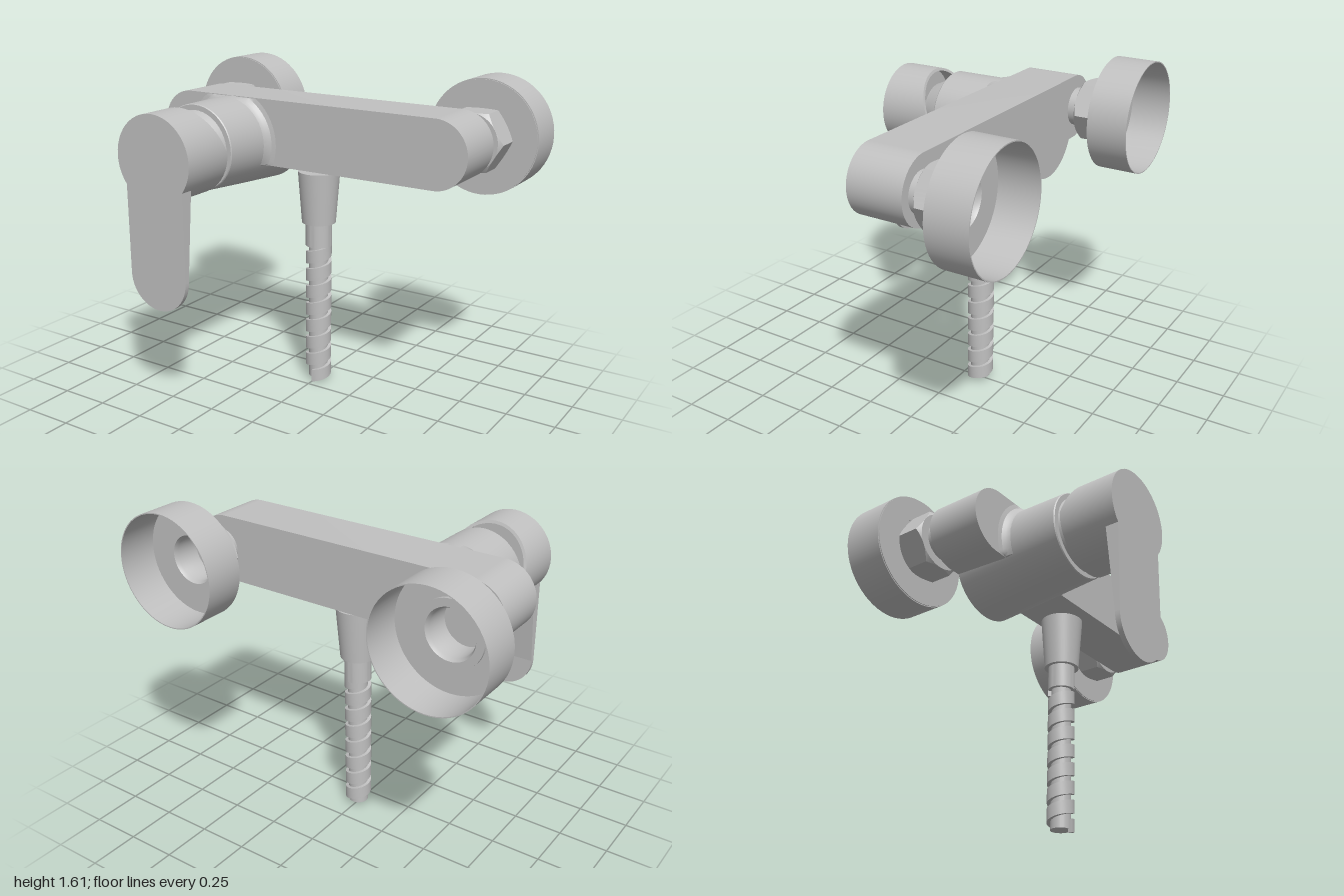
import * as THREE from 'three';
import { toCreasedNormals } from 'three/addons/utils/BufferGeometryUtils.js';

const metal = new THREE.MeshStandardMaterial({ color: 0xc0c0c0, side: THREE.DoubleSide });
metal.name = 'satin metal';

function part(parent, name, geometry, x = 0, y = 0, z = 0) {
  const mesh = new THREE.Mesh(toCreasedNormals(geometry, 0.5), metal);
  mesh.name = name;
  mesh.position.set(x, y, z);
  parent.add(mesh);
}

// Lathe from [radius, height] pairs, upright or turned along z
function turned(points, alongZ = true, segments = 48) {
  const g = new THREE.LatheGeometry(points.map(p => new THREE.Vector2(...p)), segments);
  return alongZ ? g.rotateX(Math.PI / 2) : g;
}

// Moves every vertex of a geometry by a rule
function reshape(g, rule) {
  const p = g.attributes.position, v = new THREE.Vector3();
  for (let i = 0; i < p.count; i++) {
    v.fromBufferAttribute(p, i);
    rule(v);
    p.setXYZ(i, v.x, v.y, v.z);
  }
  return g;
}

function extrude(shape, depth) {
  return new THREE.ExtrudeGeometry(shape, { depth, bevelEnabled: false, curveSegments: 24 });
}

// Helical band with a rectangular section, closed at both ends
function spiralBand(inner, outer, height, pitch, turns) {
  const steps = Math.round(turns * 28), pos = [], index = [];
  const section = [[inner, 0], [outer, 0], [outer, height], [inner, height]];
  for (let i = 0; i <= steps; i++) {
    const t = i / steps * turns, a = t * Math.PI * 2;
    for (const [r, h] of section) pos.push(r * Math.sin(a), h + t * pitch, r * Math.cos(a));
    if (i === steps) break;
    for (let k = 0; k < 4; k++) {
      const a0 = i * 4 + k, b0 = i * 4 + (k + 1) % 4;
      index.push(a0, a0 + 4, b0, b0, a0 + 4, b0 + 4);
    }
  }
  const e = steps * 4;
  index.push(0, 1, 2, 0, 2, 3, e, e + 2, e + 1, e, e + 3, e + 2);
  const g = new THREE.BufferGeometry();
  g.setAttribute('position', new THREE.Float32BufferAttribute(pos, 3));
  g.setIndex(index);
  return g;
}

// Wall flange, union nut and stub pipe
function wallConnection(side) {
  const group = new THREE.Group();
  group.name = side > 0 ? 'leftWallConnection' : 'rightWallConnection';
  group.position.set(side * 0.715, 1.321, 0);
  // Open cup with a raised ring around the bore
  part(group, 'wallFlange', turned([
    [0, -0.31], [0.112, -0.31], [0.112, -0.435], [0.122, -0.455], [0.16, -0.455], [0.16, -0.436],
    [0.28, -0.436], [0.28, -0.645], [0.285, -0.645], [0.285, -0.44], [0.125, -0.44]], true, 60));
  // Hexagon whose corners are chamfered at both ends
  const flat = 0.141;
  const nut = reshape(turned([[0.13, -0.44], [flat, -0.44], [flat + 0.01, -0.44], [flat + 0.01, -0.295],
    [flat, -0.295], [0.09, -0.295]]), v => {
    const r = Math.hypot(v.x, v.y);
    if (r < flat + 0.005) return;
    const sixth = Math.PI / 3, a = Math.atan2(v.y, v.x) + Math.PI * 2;
    const hex = flat / Math.cos((a + 1e-6) % sixth - sixth / 2);
    v.x *= hex / r;
    v.y *= hex / r;
    v.z += (v.z < -0.36 ? 1 : -1) * (hex - flat) * 0.8;
  });
  part(group, 'unionNut', nut);
  part(group, 'stubPipe', turned([[0.097, -0.3], [0.097, -0.23]]));
  return group;
}

export function createModel() {
  const model = new THREE.Group();
  model.name = 'showerMixer';

  // Long bar body with round ends
  const bar = new THREE.Shape();
  bar.absarc(0.693, 0, 0.165, -Math.PI / 2, Math.PI / 2);
  bar.absarc(-0.693, 0, 0.165, Math.PI / 2, Math.PI * 1.5);
  bar.closePath();
  part(model, 'body', extrude(bar, 0.282), 0, 1.322, -0.24);

  for (const side of [-1, 1]) model.add(wallConnection(side));

  // Cartridge housing: a drafted cylinder whose top stays level
  const valve = new THREE.Group();
  valve.name = 'valve';
  valve.position.set(-0.43, 1.273, 0);
  model.add(valve);
  const lean = v => { v.y -= (0.33 - v.z) * 0.04; };
  part(valve, 'cartridgeHousing', reshape(turned([
    [0, -0.24], [0.235, -0.24], [0.225, 0.04], [0.213, 0.325], [0.209, 0.33], [0, 0.33]]), lean));

  // Fillet against the bar, drawn inside the housing where it would pass the bar's edges
  part(valve, 'housingFillet', reshape(turned([
    [0.267, 0.043], [0.245, 0.048], [0.231, 0.061], [0.222, 0.085]], true, 96), v => {
    const r = Math.hypot(v.x, v.y);
    const edge = (v.y > 0 ? 0.222 : 0.104) / Math.max(Math.abs(v.y / r), 0.01);
    const k = Math.min(r, Math.max(edge, 0.2)) / r;
    v.x *= k;
    v.y *= k;
    lean(v);
  }));
  part(valve, 'neck', turned([[0.187, 0.32], [0.183, 0.335], [0.142, 0.42], [0.136, 0.435], [0, 0.435]]));

  // Handle cap: hollow at the back, its rim slanting forward in the upper half
  part(valve, 'handleCap', reshape(turned([
    [0, 0.5], [0.2, 0.5], [0.2, 0.362], [0.214, 0.362], [0.214, 0.645], [0, 0.645]]), v => {
    if (v.z < 0.4) v.z += Math.max(0, v.y) * 0.4;
  }));

  // Lever: tapered blade above, half-round tip below
  const tipY = 0.702;
  const blade = new THREE.Shape([[0.645, tipY], [0.645, 1.145], [0.579, 1.145], [0.62, tipY]]
    .map(([z, y]) => new THREE.Vector2(-z, y - 1.273)));
  part(valve, 'leverBlade', extrude(blade, 0.334).rotateY(Math.PI / 2).translate(-0.167, 0, 0));
  const tip = new THREE.Shape();
  tip.absarc(0, 0, 0.167, Math.PI, Math.PI * 2);
  tip.closePath();
  part(valve, 'leverTip', extrude(tip, 0.025), 0, tipY - 1.273, 0.62);

  // Shower hose with its conical connector
  const hose = new THREE.Group();
  hose.name = 'hose';
  hose.position.z = -0.098;
  model.add(hose);
  part(hose, 'hoseConnector', turned([[0, 0.865], [0.086, 0.865], [0.106, 1.13], [0, 1.13]], false));
  part(hose, 'hoseSleeve', turned([[0, 0.742], [0.067, 0.742], [0.067, 0.87]], false));
  part(hose, 'hoseCore', turned([[0, 0.02], [0.05, 0.02], [0.05, 0.75]], false, 28));
  part(hose, 'hoseSpiral', spiralBand(0.046, 0.0665, 0.066, 0.094, 7.6));

  return model;
}
